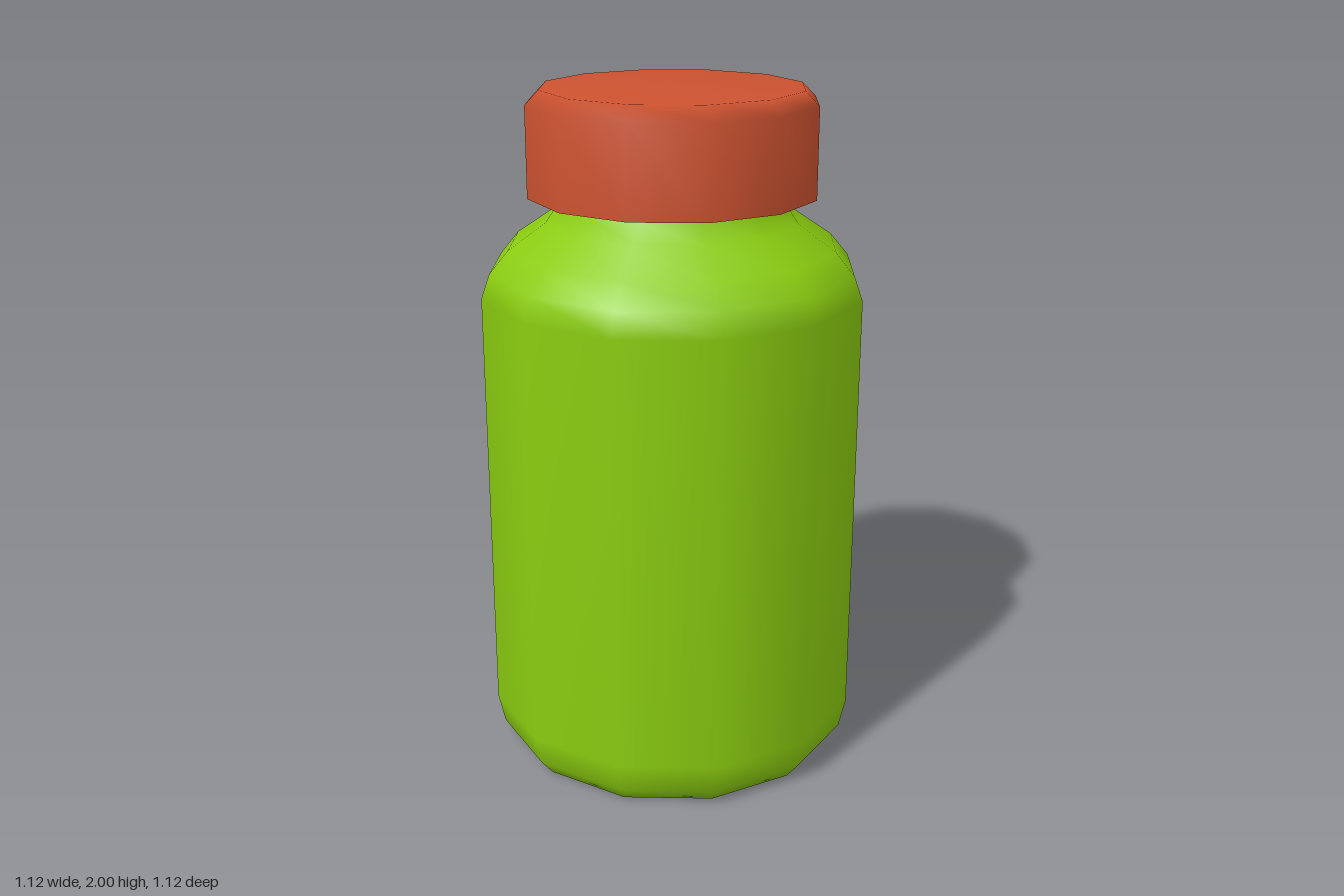
import * as THREE from 'three';

const SIDES = 12;

// Twelve-sided turned part with smooth normals; profile runs bottom to top as [radius, y]
function turned(name, color, profile, side = THREE.FrontSide) {
  const points = profile.map(([r, y]) => new THREE.Vector2(r, y));
  const mesh = new THREE.Mesh(
    new THREE.LatheGeometry(points, SIDES),
    new THREE.MeshStandardMaterial({ color, side })
  );
  mesh.name = name;
  return mesh;
}

export function createModel() {
  const group = new THREE.Group();
  group.name = 'bottle';

  // Body: closed base, straight wall, rounded shoulder and a neck that runs up into the cap
  group.add(turned('bottleBody', 0x8acc10, [
    [0, 0], [0.5, 0], [0.54, 0.05], [0.56, 0.14],
    [0.56, 1.42], [0.535, 1.49], [0.48, 1.555],
    [0.37, 1.63], [0.335, 1.68], [0.33, 1.72], [0.33, 1.85],
  ], THREE.DoubleSide));

  // Cap: hollow shell with a bevelled top edge
  group.add(turned('cap', 0xcc5230, [
    [0.42, 1.7], [0.42, 1.96], [0.38, 2], [0, 2],
  ], THREE.DoubleSide));

  return group;
}
